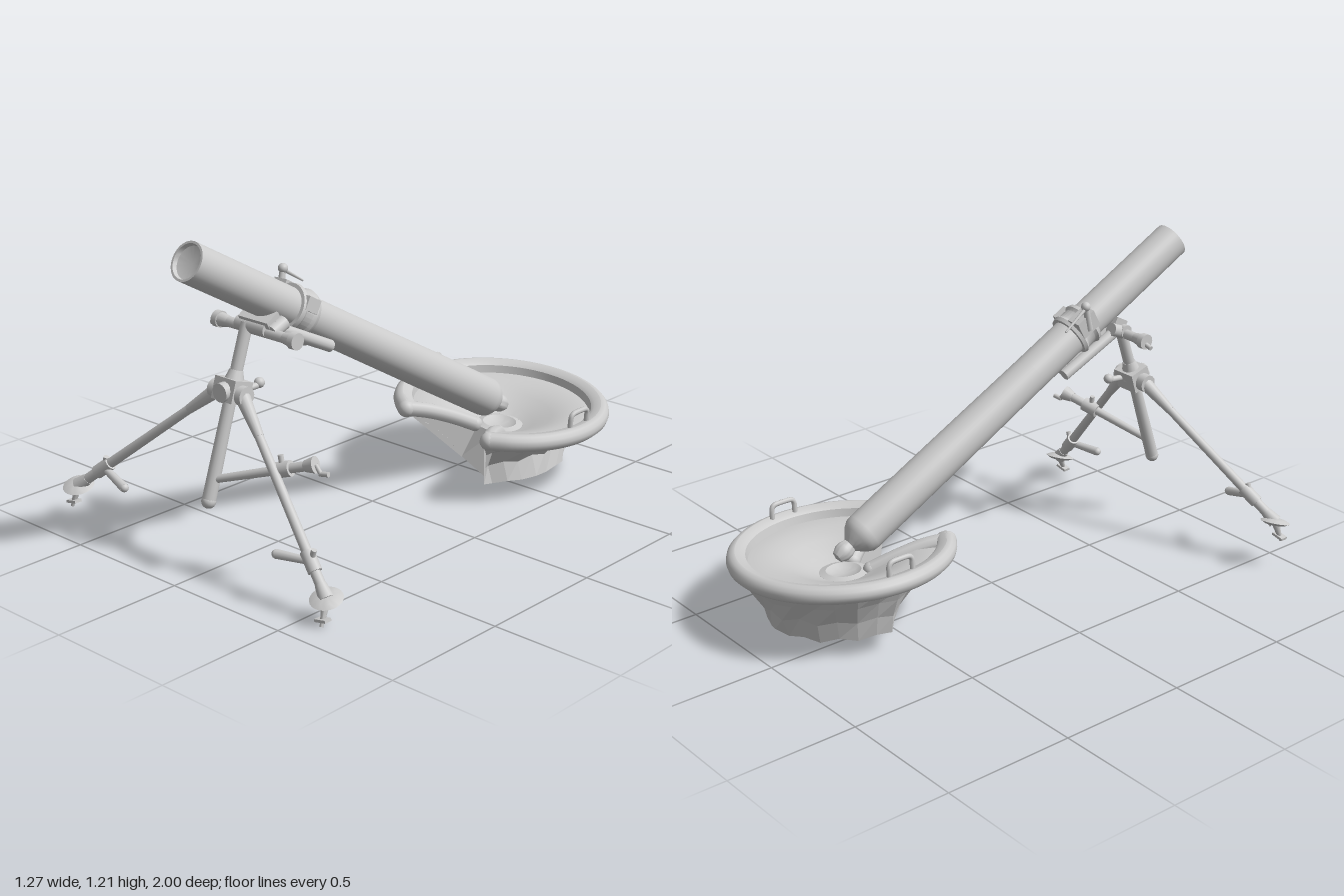
import * as THREE from 'three';
import { toCreasedNormals } from 'three/addons/utils/BufferGeometryUtils.js';

const grey = new THREE.MeshStandardMaterial({ color: 0xcccccc });
const thin = new THREE.MeshStandardMaterial({ color: 0xcccccc, side: THREE.DoubleSide });
const faceted = new THREE.MeshStandardMaterial({ color: 0xcccccc, side: THREE.DoubleSide, flatShading: true });
const V = (x, y, z) => new THREE.Vector3(x, y, z);
const UP = V(0, 1, 0);

function add(parent, name, geometry, material = grey) {
  const mesh = new THREE.Mesh(geometry, material);
  mesh.name = name;
  parent.add(mesh);
  return mesh;
}
function lathe(points, seg = 32, start = 0, length = Math.PI * 2) {
  const g = new THREE.LatheGeometry(points.map(p => new THREE.Vector2(...p)), seg, start, length);
  return toCreasedNormals(g, 0.6);
}
// Tapered rod between two points
function rod(parent, name, a, b, r0, r1 = r0, seg = 14) {
  const d = b.clone().sub(a);
  const m = add(parent, name, new THREE.CylinderGeometry(r1, r0, d.length(), seg));
  m.position.copy(a).addScaledVector(d, 0.5);
  m.quaternion.setFromUnitVectors(UP, d.normalize());
  return m;
}
function ball(parent, name, p, r) {
  const m = add(parent, name, new THREE.SphereGeometry(r, 16, 12));
  m.position.copy(p);
  return m;
}
function box(parent, name, p, w, h, d) {
  const m = add(parent, name, new THREE.BoxGeometry(w, h, d));
  m.position.copy(p);
  return m;
}

function makeBarrel() {
  const g = new THREE.Group();
  g.name = 'barrelAssembly';
  const base = V(0.13, 0.31, -0.51), muzzle = V(0.066, 1.15, 0.957);
  const axis = muzzle.clone().sub(base), L = axis.length();
  g.position.copy(base);
  g.quaternion.setFromUnitVectors(UP, axis.normalize());
  // Tube with shallow muzzle recess, breech neck and ball
  add(g, 'barrel', lathe([[0, -0.125], [0.022, -0.118], [0.034, -0.095], [0.034, -0.075], [0.028, -0.055],
    [0.04, -0.042], [0.062, -0.02], [0.074, 0], [0.076, 0.02], [0.075, 0.4], [0.071, 0.9], [0.07, L],
    [0.062, L], [0.058, L - 0.015], [0, L - 0.03]], 36));
  // Clamp ring round the barrel
  const ring = add(g, 'clampRing', lathe([[0.068, -0.045], [0.084, -0.045], [0.088, -0.03], [0.08, -0.018],
    [0.08, 0.018], [0.088, 0.03], [0.084, 0.045], [0.068, 0.045]]));
  ring.position.y = 1.154;
  box(g, 'clampBlock', V(-0.058, 1.165, -0.052), 0.06, 0.085, 0.075);
  box(g, 'clampLug', V(0.07, 1.16, -0.03), 0.035, 0.06, 0.05);
  rod(g, 'clampScrew', V(-0.08, 1.16, -0.03), V(-0.085, 1.186, -0.128), 0.015, 0.011);
  ball(g, 'clampKnob', V(-0.085, 1.186, -0.128), 0.018);
  rod(g, 'clampLever', V(-0.085, 1.2, -0.125), V(-0.105, 1.055, -0.122), 0.008, 0.004, 8);
  // Cradle beneath the barrel
  const slab = box(g, 'cradle', V(0.005, 1.14, 0.078), 0.12, 0.29, 0.03);
  slab.rotation.x = 0.07;
  for (const s of [-1, 1]) {
    rod(g, 'cradleRail', V(s * 0.06, 0.99, 0.07), V(s * 0.06, 1.29, 0.09), 0.022);
    rod(g, 'yokeLug', V(s * 0.068, 1.25, 0.06), V(s * 0.068, 1.29, 0.11), 0.026);
  }
  return g;
}

// Draws points in front of a slanting chord back onto it, by weight w
function cutToChord(p, w) {
  const excess = Math.max(0, -0.527 * p.x + 0.85 * p.z - 0.15) * w;
  return p.set(p.x + 0.527 * excess, p.y, p.z - 0.85 * excess);
}

function makeBasePlate() {
  const g = new THREE.Group();
  g.name = 'basePlate';
  g.position.set(0.143, 0.27, -0.585);
  g.rotation.z = -0.07;
  const a = 0.52, span = Math.PI * 2 - 2 * a;
  const polar = (r, y, t) => V(r * Math.sin(t), y, r * Math.cos(t));

  // Dished pan with a wedge-shaped opening in front
  add(g, 'pan', lathe([[0.385, 0.034], [0.36, 0.028], [0.348, 0.018], [0.342, -0.012], [0.325, -0.012], [0.27, -0.014],
    [0.2, -0.035], [0.13, -0.07], [0.09, -0.085]], 56, a, span), thin);
  add(g, 'panSocket', lathe([[0.09, -0.085], [0.065, -0.078], [0.045, -0.09], [0, -0.095]], 32), thin);

  // Rolled rim following the arc, then both edges of the opening
  const arc = [];
  for (let i = 0; i <= 24; i++) arc.push(polar(0.385, 0, a + 0.04 + (span - 0.08) * i / 24));
  add(g, 'rim', new THREE.TubeGeometry(new THREE.CatmullRomCurve3(arc), 96, 0.034, 12));
  for (const s of [-1, 1]) {
    const lip = new THREE.CatmullRomCurve3([polar(0.385, 0, s * (a + 0.04)), polar(0.3, -0.014, s * (a + 0.04)),
      polar(0.2, -0.045, s * (a + 0.06)), polar(0.1, -0.085, s * (a + 0.1))]);
    add(g, 'openingLip', new THREE.TubeGeometry(lip, 20, 0.03, 10));
    ball(g, 'rimEnd', polar(0.385, 0, s * (a + 0.04)), 0.034);
    ball(g, 'lipEnd', polar(0.1, -0.085, s * (a + 0.1)), 0.03);
  }

  // Faceted, uneven skirt, pinched in on its left and cut back at the front right
  const skirt = new THREE.LatheGeometry([[0.395, -0.01], [0.36, -0.07], [0.325, -0.14], [0.305, -0.215]]
    .map(p => new THREE.Vector2(...p)), 24, a, span);
  const pinch = [1, 0.74, 0.66, 0.78], cut = [0, 0.35, 0.7, 1];
  const pos = skirt.attributes.position, v = V(0, 0, 0);
  for (let i = 0; i < pos.count; i++) {
    const row = i % 4, col = Math.floor(i / 4);
    v.fromBufferAttribute(pos, i);
    if (row > 0 && col > 0 && col < 24) {
      const k = 1 + 0.02 * Math.sin(col * 2.3 + row * 1.7);
      v.set(v.x * k * (v.x > 0 ? pinch[row] : 1), v.y + 0.008 * Math.sin(col * 3.1 + row), v.z * k);
    }
    cutToChord(v, cut[row]);
    pos.setXYZ(i, v.x, v.y, v.z);
  }
  add(g, 'skirt', skirt, faceted);

  // Walls of the opening, sloping forward to the foot
  const top = [polar(0.385, -0.01, -a), polar(0.09, -0.085, -a), polar(0.09, -0.085, a), polar(0.385, -0.01, a)];
  const low = [polar(0.305, -0.215, -a), polar(0.25, -0.213, -a), polar(0.25, -0.213, a), polar(0.305, -0.215, a)];
  low.forEach(p => cutToChord(p, 1));
  const wall = new THREE.BufferGeometry().setFromPoints([...top, ...low]);
  const index = [];
  for (let i = 0; i < 3; i++) index.push(i, i + 4, i + 1, i + 1, i + 4, i + 5);
  wall.setIndex(index);
  wall.computeVertexNormals();
  add(g, 'openingWall', wall, faceted);

  // Carrying handles
  for (const s of [-1, 1]) {
    const x = s * 0.367;
    const bow = new THREE.CatmullRomCurve3([V(x, 0, -0.055), V(x, 0.065, -0.055), V(x, 0.082, -0.04),
      V(x, 0.082, 0.03), V(x, 0.065, 0.045), V(x, 0, 0.045)], false, 'catmullrom', 0.3);
    add(g, 'carryHandle', new THREE.TubeGeometry(bow, 30, 0.01, 8));
  }
  return g;
}

function makeLeg(name, hip, foot, tip, clampAt, handleEnd) {
  const g = new THREE.Group();
  g.name = name;
  const at = t => hip.clone().lerp(foot, t);
  rod(g, 'legUpper', hip, at(0.2), 0.027, 0.017);
  rod(g, 'legTube', at(0.18), foot, 0.016, 0.019);
  // Foot disc, spike and small blade
  rod(g, 'footCollar', at(0.93), foot, 0.02, 0.028);
  const disc = add(g, 'footDisc', lathe([[0, -0.012], [0.04, -0.01], [0.058, 0], [0.04, 0.009], [0, 0.018]], 24));
  disc.position.copy(foot);
  disc.rotation.set(0.3, 0, -0.1);
  rod(g, 'spike', foot, tip, 0.016, 0.006, 8);
  box(g, 'spikeBlade', foot.clone().lerp(tip, 0.75), 0.05, 0.01, 0.03).rotation.z = 0.2;
  // Clamp with grip handle
  const c = at(clampAt);
  rod(g, 'legClamp', at(clampAt - 0.05), at(clampAt + 0.05), 0.025);
  rod(g, 'clampPin', c, c.clone().add(V(0.015, 0.045, 0)), 0.01);
  rod(g, 'clampHandle', c, handleEnd, 0.013, 0.017, 10);
  ball(g, 'clampHandleEnd', handleEnd, 0.016);
  return g;
}

function makeBipod() {
  const g = new THREE.Group();
  g.name = 'bipod';
  const hub = V(0.033, 0.645, 0.74), head = V(0.035, 0.87, 0.665), bottom = V(0.032, 0.275, 0.86);
  // Hub with shoulders and front boss
  box(g, 'hubBody', hub, 0.1, 0.08, 0.085).rotation.x = -0.3;
  rod(g, 'hubShoulders', V(-0.05, 0.635, 0.745), V(0.11, 0.64, 0.745), 0.035);
  rod(g, 'hubBoss', V(0.035, 0.65, 0.71), V(0.035, 0.65, 0.8), 0.034);
  rod(g, 'hubPin', V(0.05, 0.64, 0.74), V(0.06, 0.645, 0.65), 0.012);
  ball(g, 'hubKnob', V(0.06, 0.652, 0.637), 0.019);
  // Elevating column
  rod(g, 'columnCone', hub, hub.clone().lerp(head, 0.3), 0.045, 0.024);
  rod(g, 'columnUpper', hub, head, 0.022);
  rod(g, 'columnLower', hub, bottom, 0.022, 0.025);
  ball(g, 'columnEnd', bottom, 0.026);
  // Traversing bar across the top
  const y = 0.85, z = 0.66;
  rod(g, 'traverseBar', V(-0.11, y, z), V(0.26, y, z), 0.019);
  rod(g, 'traverseHousing', V(-0.01, y + 0.01, z), V(0.13, y + 0.01, z), 0.026);
  for (const [x, s] of [[-0.108, 1], [0.258, -1]]) {
    rod(g, 'traverseCap', V(x - s * 0.012, y, z), V(x + s * 0.012, y, z), 0.03);
    rod(g, 'traverseCone', V(x, y, z), V(x + s * 0.05, y, z), 0.028, 0.019);
  }
  rod(g, 'traverseCrank', V(-0.115, y - 0.01, z), V(-0.145, y - 0.018, z), 0.009);
  box(g, 'yokeBlock', V(0.08, 0.885, 0.645), 0.14, 0.05, 0.06).rotation.x = 0.5;
  // Levelling arm and crank
  const a0 = V(0.04, 0.35, 0.835), a1 = V(0.4, 0.465, 0.715), on = t => a0.clone().lerp(a1, t);
  rod(g, 'levelArm', a0, on(0.95), 0.014, 0.018);
  rod(g, 'levelClamp', on(0.6), on(0.76), 0.028);
  rod(g, 'levelCap', on(0.9), a1, 0.02, 0.03);
  rod(g, 'levelCrank', a1, V(0.42, 0.435, 0.71), 0.008);
  rod(g, 'levelCrankGrip', V(0.415, 0.435, 0.71), V(0.45, 0.44, 0.705), 0.009);
  rod(g, 'levelPin', on(0.68), on(0.68).add(V(-0.01, 0.05, 0)), 0.01);
  // Legs
  g.add(makeLeg('rightLeg', V(-0.03, 0.635, 0.745), V(-0.58, 0.185, 0.93), V(-0.597, 0.105, 0.95), 0.81, V(-0.345, 0.235, 0.915)));
  g.add(makeLeg('leftLeg', V(0.09, 0.635, 0.745), V(0.575, 0.083, 0.85), V(0.59, 0, 0.89), 0.82, V(0.355, 0.178, 0.86)));
  return g;
}

export function createModel() {
  const model = new THREE.Group();
  model.name = 'mortar';
  model.add(makeBarrel(), makeBasePlate(), makeBipod());
  return model;
}
